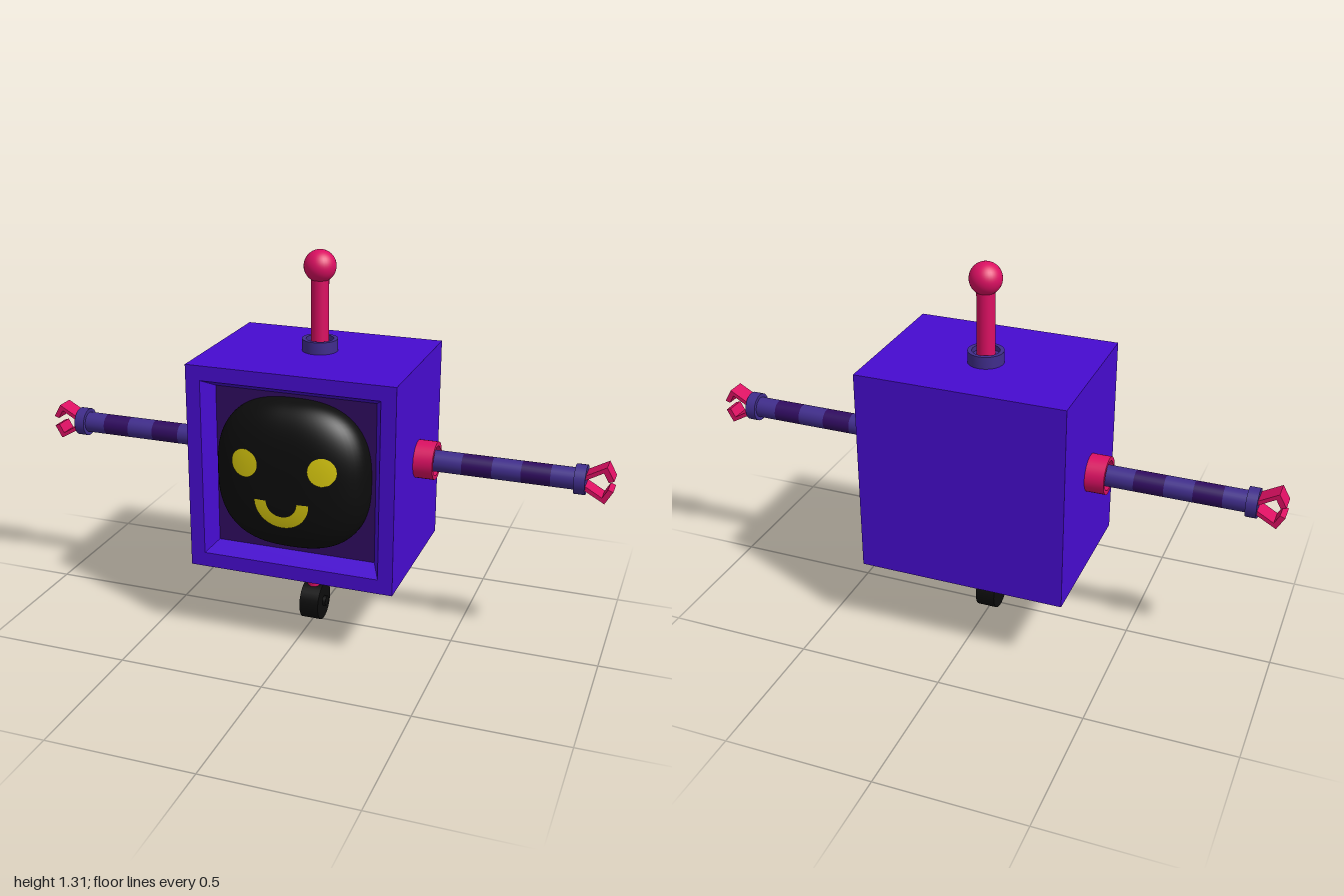
import * as THREE from 'three';
import { toCreasedNormals } from 'three/addons/utils/BufferGeometryUtils.js';

const paint = (name, color) => {
  const m = new THREE.MeshStandardMaterial({ color });
  m.name = name;
  return m;
};

export function createModel() {
  const purple = paint('body purple', 0x470bd0);
  const darkPurple = paint('dark purple', 0x300b60);
  const indigo = paint('indigo', 0x402d8c);
  const pink = paint('pink', 0xdb0f62);
  const black = paint('black', 0x0c0c0c);
  const yellow = paint('yellow', 0xd6c60f);

  const model = new THREE.Group();
  model.name = 'robot';

  const add = (parent, name, geo, mat, x = 0, y = 0, z = 0) => {
    const mesh = new THREE.Mesh(geo, mat);
    mesh.name = name;
    mesh.position.set(x, y, z);
    parent.add(mesh);
    return mesh;
  };
  // Turned part from [radius, height] pairs, listed bottom to top along the outside
  const turned = (pts, sides = 32, start = 0) => toCreasedNormals(
    new THREE.LatheGeometry(pts.map(([r, h]) => new THREE.Vector2(r, h)), sides, start).toNonIndexed(), 0.6);

  // Square body with a bevelled recess in the front
  const q = Math.SQRT2;
  const shell = turned([[0, -0.305], [0.355 * q, -0.305], [0.355 * q, 0.24],
    [0.305 * q, 0.24], [0.275 * q, 0.18]], 4, Math.PI / 4);
  shell.rotateX(Math.PI / 2);
  add(model, 'body', shell, purple, 0, 0.617, 0);
  add(model, 'recessPanel', new THREE.PlaneGeometry(0.55, 0.55), darkPurple, 0, 0.617, 0.18);

  // Pillow-shaped face bulging out of the recess
  const P = 2.6, A = 0.262, B = 0.255, D = 0.125, FY = 0.625, FZ = 0.18;
  const pw = (v) => Math.abs(v) ** P;
  const face = new THREE.SphereGeometry(1, 64, 48);
  const fp = face.attributes.position;
  for (let i = 0; i < fp.count; i++) {
    const x = fp.getX(i), y = fp.getY(i), z = fp.getZ(i);
    const k = (pw(x) + pw(y) + pw(z)) ** (-1 / P);
    fp.setXYZ(i, x * k * A, y * k * B, z * k * D);
  }
  face.computeVertexNormals();
  add(model, 'face', face, black, 0, FY, FZ);

  // Flat details laid onto the curve of the face
  const decal = (name, geo, x, y) => {
    geo.translate(x, y - FY, 0);
    const p = geo.attributes.position;
    for (let i = 0; i < p.count; i++) {
      const rest = Math.max(0, 1 - pw(p.getX(i) / A) - pw(p.getY(i) / B));
      p.setZ(i, D * rest ** (1 / P) + 0.004);
    }
    geo.computeVertexNormals();
    add(model, name, geo, yellow, 0, FY, FZ);
  };
  decal('rightEye', new THREE.RingGeometry(0, 0.047, 32, 6), -0.13, 0.683);
  decal('leftEye', new THREE.RingGeometry(0, 0.047, 32, 6), 0.133, 0.683);
  decal('mouth', new THREE.RingGeometry(0.052, 0.093, 32, 5, Math.PI, Math.PI), -0.002, 0.566);

  // Antenna
  add(model, 'antennaCollar', turned([[0.06, 0], [0.06, 0.042], [0.046, 0.042], [0.046, 0.025], [0, 0.025]]),
    indigo, 0, 0.971, -0.06);
  add(model, 'antennaRod', new THREE.CylinderGeometry(0.03, 0.03, 0.24, 32), pink, 0, 1.11, -0.06);
  add(model, 'antennaBall', new THREE.SphereGeometry(0.054, 32, 24), pink, 0, 1.257, -0.06);

  // Single leg with a wheel
  add(model, 'legCollar', turned([[0, 0.19], [0.04, 0.19], [0.048, 0.208], [0.06, 0.208], [0.06, 0.264]]),
    indigo, 0, 0, -0.009);
  add(model, 'legRod', new THREE.CylinderGeometry(0.025, 0.025, 0.13, 32), pink, 0, 0.135, -0.009);
  const wheel = new THREE.CylinderGeometry(0.067, 0.067, 0.068, 32).rotateZ(Math.PI / 2);
  add(model, 'wheel', wheel, black, 0, 0.067, -0.011);
  const axle = new THREE.CylinderGeometry(0.018, 0.018, 0.09, 24).rotateZ(Math.PI / 2);
  add(model, 'axle', axle, black, 0, 0.067, -0.011);

  // Bent claw finger, drawn as a band of even thickness and extruded across its width
  const fingerShape = new THREE.Shape([[0.9, 0.004], [0.966, 0.042], [0.983, 0.012], [1, 0.018],
    [0.975, 0.062], [0.9, 0.02]].map(([x, y]) => new THREE.Vector2(x, y)));
  const finger = new THREE.ExtrudeGeometry(fingerShape, { depth: 0.066, bevelEnabled: false });
  finger.translate(0, 0, -0.033);

  // Arms point along +x and are turned around for the other side
  const stops = [0.36, 0.51, 0.61, 0.705, 0.8, 0.9];
  for (const [name, y, turn] of [['leftArm', 0.641, 0], ['rightArm', 0.621, Math.PI]]) {
    const arm = new THREE.Group();
    arm.name = name;
    arm.position.set(0, y, -0.033);
    arm.rotation.y = turn;
    model.add(arm);

    const socket = turned([[0.064, 0.35], [0.064, 0.42], [0.05, 0.42], [0.05, 0.375], [0, 0.375]]);
    add(arm, 'shoulder', socket.rotateZ(-Math.PI / 2), pink);
    for (let i = 0; i < 5; i++) {
      const len = stops[i + 1] - stops[i];
      const band = new THREE.CylinderGeometry(0.036, 0.036, len, 32).rotateZ(-Math.PI / 2);
      add(arm, 'armBand', band, i % 2 ? darkPurple : indigo, stops[i] + len / 2);
    }
    const wrist = new THREE.CylinderGeometry(0.049, 0.049, 0.036, 32).rotateZ(-Math.PI / 2);
    add(arm, 'wrist', wrist, indigo, 0.893);
    add(arm, 'upperFinger', finger, pink);
    add(arm, 'lowerFinger', finger, pink).rotation.x = Math.PI;
  }
  return model;
}
